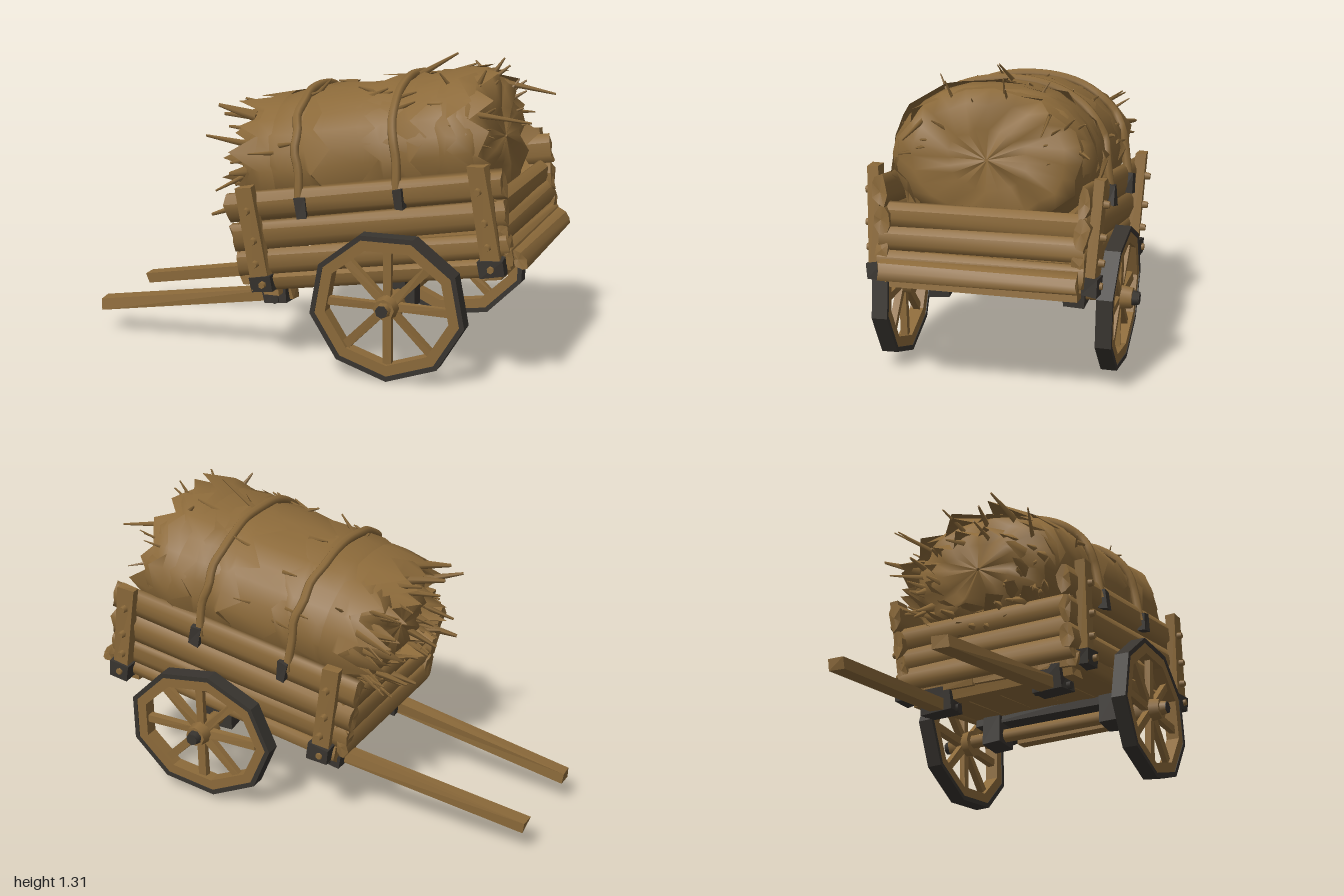
import * as THREE from 'three';

const wood = new THREE.MeshStandardMaterial({ color: 0x8c6a3a, side: THREE.DoubleSide });
wood.name = 'woodAndStraw';
const iron = new THREE.MeshStandardMaterial({ color: 0x38342f });
iron.name = 'darkIron';

let seed = 7;
const rnd = () => (seed = (seed * 16807) % 2147483647) / 2147483647;
const jit = (a) => (rnd() - 0.5) * 2 * a;

function add(parent, name, geo, mat, x = 0, y = 0, z = 0) {
  const m = new THREE.Mesh(geo, mat);
  m.name = name;
  m.position.set(x, y, z);
  parent.add(m);
  return m;
}

// Nudge every corner a little, moving coincident vertices together
function roughen(g, j) {
  const p = g.attributes.position, off = {};
  for (let i = 0; i < p.count; i++) {
    const v = [p.getX(i), p.getY(i), p.getZ(i)];
    const o = (off[v.map((c) => Math.round(c * 1000)).join()] ??= [jit(j), jit(j), jit(j)]);
    p.setXYZ(i, v[0] + o[0], v[1] + o[1], v[2] + o[2]);
  }
  g.computeVertexNormals();
  return g;
}
const hewn = (w, h, d, j = 0.006) => roughen(new THREE.BoxGeometry(w, h, d).toNonIndexed(), j);

// Round-edged plank along x
function plank(len, h, d, j = 0.006) {
  const r = 0.5 / Math.cos(Math.PI / 8);
  const g = new THREE.CylinderGeometry(r, r, len, 8).rotateY(Math.PI / 8).rotateZ(Math.PI / 2).scale(1, h, d);
  return roughen(g, j);
}

// Point on the straw bale: u along the cart, a around it, r as scale
const balePoint = (u, a, r) =>
  new THREE.Vector3(u, 0.47 + 0.3 * r * Math.sin(a), 0.41 * r * Math.sign(Math.cos(a)) * Math.abs(Math.cos(a)) ** 0.92);

// Skin through closed rings of points, ordered along +x
function skin(rings) {
  const n = rings[0].length, pos = [], idx = [];
  rings.forEach((ring) => ring.forEach((p) => pos.push(p.x, p.y, p.z)));
  for (let i = 0; i < rings.length - 1; i++)
    for (let k = 0; k < n; k++) {
      const a = i * n + k, b = i * n + (k + 1) % n;
      idx.push(a, a + n, b, b, a + n, b + n);
    }
  const g = new THREE.BufferGeometry();
  g.setAttribute('position', new THREE.Float32BufferAttribute(pos, 3));
  g.setIndex(idx);
  g.computeVertexNormals();
  return g;
}

function buildStraw(body) {
  const straw = new THREE.Group();
  straw.name = 'strawLoad';
  body.add(straw);
  const N = 24;
  const ring = (u, r, ju = 0, jr = 0) => Array.from({ length: N }, (_, k) =>
    balePoint(u + jit(ju), (k / N) * Math.PI * 2, r + jit(jr)));

  // Bale with bulges between the straps and lumpy ends
  const profile = [[-0.57, 0.02], [-0.57, 0.4], [-0.54, 0.7], [-0.47, 0.87], [-0.36, 0.95], [-0.26, 0.95],
    [-0.14, 0.97], [0.02, 0.96], [0.17, 0.95], [0.28, 0.99], [0.4, 0.99], [0.48, 0.93], [0.52, 0.74], [0.52, 0.4], [0.53, 0.02]];
  add(straw, 'bale', skin(profile.map(([u, r]) => ring(u, r, r < 0.1 ? 0 : r < 0.8 ? 0.03 : 0.02, r < 0.1 ? 0 : 0.035))), wood);

  // Ragged layers with toothed edges: start u, start r, edge u, edge r, tooth depth
  for (const [u0, r0, u1, r1, t] of [[-0.38, 0.95, -0.51, 0.93, 0.11], [-0.44, 0.88, -0.56, 0.78, 0.11],
    [-0.48, 0.65, -0.59, 0.52, 0.11], [-0.27, 0.95, -0.16, 1.0, 0.07], [0.17, 0.96, 0.05, 1.0, 0.08],
    [0.17, 0.96, 0.27, 1.02, 0.07], [0.34, 0.99, 0.44, 1.02, 0.09], [0.42, 0.97, 0.52, 0.9, 0.06]]) {
    const dir = Math.sign(u1 - u0);
    const edge = Array.from({ length: N }, (_, k) =>
      balePoint(u1 + dir * t * (k % 2 ? rnd() * 1.1 : -0.2 - rnd() * 0.6), ((k + jit(0.35)) / N) * Math.PI * 2, r1 + jit(0.04)));
    const rings = [ring(u0, r0), ring((u0 + u1) / 2, (r0 + r1) / 2 + 0.015, 0.01, 0.015), edge];
    add(straw, 'raggedLayer', skin(dir > 0 ? rings : rings.reverse()), wood);
  }

  // Loose straws and wisps
  const stalk = (p, d, len, w) => {
    const g = new THREE.CylinderGeometry(w * 0.3, w, len, 4).scale(1, 1, 0.6).translate(0, len * 0.35, 0);
    const m = add(straw, 'looseStraw', g, wood, p.x, p.y, p.z);
    m.quaternion.setFromUnitVectors(new THREE.Vector3(0, 1, 0), d.normalize());
  };
  for (let i = 0; i < 42; i++) {
    const a = rnd() * Math.PI * 2, r = 0.3 + 0.55 * Math.sqrt(rnd());
    stalk(balePoint(-0.54, a, r), new THREE.Vector3(-1, Math.sin(a) * 0.25 + jit(0.35), Math.cos(a) * 0.3 + jit(0.35)), 0.09 + rnd() * 0.12, 0.014 + rnd() * 0.012);
  }
  for (let i = 0; i < 22; i++) {
    const a = jit(1.5) + Math.PI / 2, u = -0.45 + rnd() * 0.92;
    stalk(balePoint(u, a, 0.97), new THREE.Vector3(jit(2), Math.sin(a) * 0.3, Math.cos(a) * 0.3), 0.07 + rnd() * 0.05, 0.012);
  }
  for (let i = 0; i < 14; i++) {
    const a = -0.2 + rnd() * 3.5, r = 0.5 + rnd() * 0.4;
    stalk(balePoint(0.49, a, r), new THREE.Vector3(0.5, Math.sin(a) * 0.5 + jit(0.3), Math.cos(a) * 0.4), 0.08 + rnd() * 0.03, 0.013);
  }
  stalk(balePoint(0.5, 0.6, 0.8), new THREE.Vector3(1, -0.25, 0.05), 0.27, 0.015);
  stalk(balePoint(0.5, 2.3, 0.85), new THREE.Vector3(1, -0.35, -0.05), 0.25, 0.015);
  stalk(balePoint(0.2, 1.6, 0.99), new THREE.Vector3(1, 0.4, 0.1), 0.22, 0.015);

  // Straps over the load, tied to the sides
  for (const u of [-0.26, 0.17]) {
    const pts = [new THREE.Vector3(u - 0.01, 0.32, 0.43)];
    for (let k = 0; k <= 12; k++) pts.push(balePoint(u + jit(0.008), (k / 12) * Math.PI, 1.0));
    pts.push(new THREE.Vector3(u - 0.01, 0.32, -0.43));
    add(straw, 'strap', new THREE.TubeGeometry(new THREE.CatmullRomCurve3(pts), 40, 0.02, 6), wood);
    for (const s of [1, -1]) add(body, 'strapTie', hewn(0.045, 0.085, 0.035), iron, u + 0.005, 0.32, s * 0.437);
  }
}

function buildBody(root) {
  const body = new THREE.Group();
  body.name = 'tiltedBody';
  body.position.set(0.35, 0.42, 0);
  body.rotation.z = 0.16;
  root.add(body);

  // Floor
  for (let i = 0; i < 5; i++) add(body, 'floorPlank', hewn(1.12, 0.03, 0.15, 0.004), wood, 0.02, -0.005, (i - 2) * 0.152);
  for (const u of [-0.48, 0.5]) add(body, 'crossBeam', hewn(0.07, 0.05, 0.76), wood, u, -0.035, 0);

  // Sides
  for (const s of [1, -1]) {
    const side = new THREE.Group();
    side.name = 'sideWall';
    side.position.z = s * 0.39;
    side.rotation.x = s * 0.05;
    body.add(side);
    [[0.005, 0.07, 1.1], [0.095, 0.105, 1.19], [0.21, 0.115, 1.2], [0.335, 0.12, 1.21]].forEach(([v, h, len]) => {
      const board = add(side, 'sidePlank', plank(len, h, 0.055, 0.008), wood, 0.005, v, 0);
      board.rotation.z = jit(0.012);
    });
    for (const u of [-0.485, 0.525]) {
      add(side, 'post', hewn(0.078, 0.44, 0.045), wood, u, 0.21, 0.04 * s);
      add(side, 'cornerIron', hewn(0.1, 0.07, 0.06), iron, u, 0.01, 0.04 * s);
      for (const v of [0.01, 0.1, 0.2, 0.33]) {
        const peg = add(side, 'peg', new THREE.CylinderGeometry(0.014, 0.018, 0.03, 6), wood, u + jit(0.012), v, 0.07 * s);
        peg.rotation.x = s * Math.PI / 2;
      }
    }
  }

  // Headboard and tailboard
  for (const [u, dir] of [[-0.545, -1], [0.565, 1]]) {
    [0.05, 0.145, 0.24].forEach((v, i) => {
      const m = add(body, 'endPlank', plank(0.82, 0.096, 0.05).rotateY(Math.PI / 2), wood, u + dir * (0.02 - i * 0.012), v, 0);
      m.rotation.z = dir * 0.12;
    });
  }
  const ledge = add(body, 'rearLedge', plank(0.79, 0.085, 0.05).rotateY(Math.PI / 2), wood, 0.625, 0.025, 0);
  ledge.rotation.z = 0.5;

  buildStraw(body);
}

// Worn, slightly out-of-round wheel: wooden rim, iron tyre, hub and spokes
function buildWheel(root, s, rx, ry, turn) {
  const wheel = new THREE.Group();
  wheel.name = 'wheel';
  wheel.position.set(0.44, 0.317, s * 0.465);
  wheel.rotation.set(s * 0.02, s > 0 ? 0 : Math.PI, 0);
  root.add(wheel);
  const poly = (inset) => Array.from({ length: 9 }, (_, k) => {
    const a = turn + (k / 9) * Math.PI * 2;
    return new THREE.Vector2((rx - inset) * Math.cos(a), (ry - inset) * Math.sin(a));
  });
  const hoop = (outer, inner, d) => {
    const shape = new THREE.Shape(poly(outer));
    shape.holes.push(new THREE.Path(poly(inner).reverse()));
    return new THREE.ExtrudeGeometry(shape, { depth: d, bevelEnabled: false }).translate(0, 0, -d / 2);
  };
  add(wheel, 'tyre', hoop(0, 0.022, 0.066), iron);
  add(wheel, 'rim', hoop(0.021, 0.068, 0.06), wood);
  for (let k = 0; k < 8; k++) {
    const a = (k / 8) * Math.PI * 2;
    const spoke = add(wheel, 'spoke', hewn(0.23, 0.034, 0.028, 0.003), wood, 0.155 * Math.cos(a), 0.155 * Math.sin(a), 0);
    spoke.rotation.z = a;
  }
  // The near hub ends in wood with an iron disc, the far one in an iron cap
  add(wheel, 'hub', new THREE.CylinderGeometry(0.045, 0.062, 0.11, 8).rotateX(Math.PI / 2), wood, 0, 0, 0.005);
  add(wheel, 'hubCap', new THREE.CylinderGeometry(0.028, 0.034, 0.03, 7).rotateX(Math.PI / 2), s > 0 ? wood : iron, 0, 0, 0.07);
  add(wheel, 'hubDisc', new THREE.CylinderGeometry(0.027, 0.027, 0.006, 7).rotateX(Math.PI / 2), iron, 0, 0, 0.086);
}

export function createModel() {
  seed = 7;
  const root = new THREE.Group();
  root.name = 'strawCart';
  buildBody(root);
  buildWheel(root, 1, 0.338, 0.316, -Math.PI / 2);
  buildWheel(root, -1, 0.355, 0.295, 0);

  // Axle and its irons
  add(root, 'axle', new THREE.CylinderGeometry(0.032, 0.032, 0.9, 8).rotateX(Math.PI / 2), wood, 0.44, 0.325, 0);
  add(root, 'axlePlate', hewn(0.09, 0.055, 0.76), iron, 0.44, 0.402, 0);
  for (const s of [1, -1]) {
    add(root, 'axleBracket', hewn(0.13, 0.14, 0.085), iron, 0.44, 0.35, s * 0.29);

    // Pulling shaft and its clamp
    const from = new THREE.Vector3(-0.99, 0.125, s * 0.228), to = new THREE.Vector3(-0.05, 0.277, s * 0.265);
    const shaft = add(root, 'shaft', hewn(0.068, 0.052, from.distanceTo(to), 0.005), wood);
    shaft.position.lerpVectors(from, to, 0.5);
    shaft.lookAt(to);
    const clamp = add(root, 'shaftClamp', hewn(0.11, 0.11, 0.14), iron, -0.12, 0.29, s * 0.265);
    clamp.rotation.z = 0.16;
    add(root, 'clampPin', new THREE.CylinderGeometry(0.018, 0.018, 0.17, 6).rotateX(Math.PI / 2), iron, -0.11, 0.255, s * 0.265);
  }
  return root;
}
